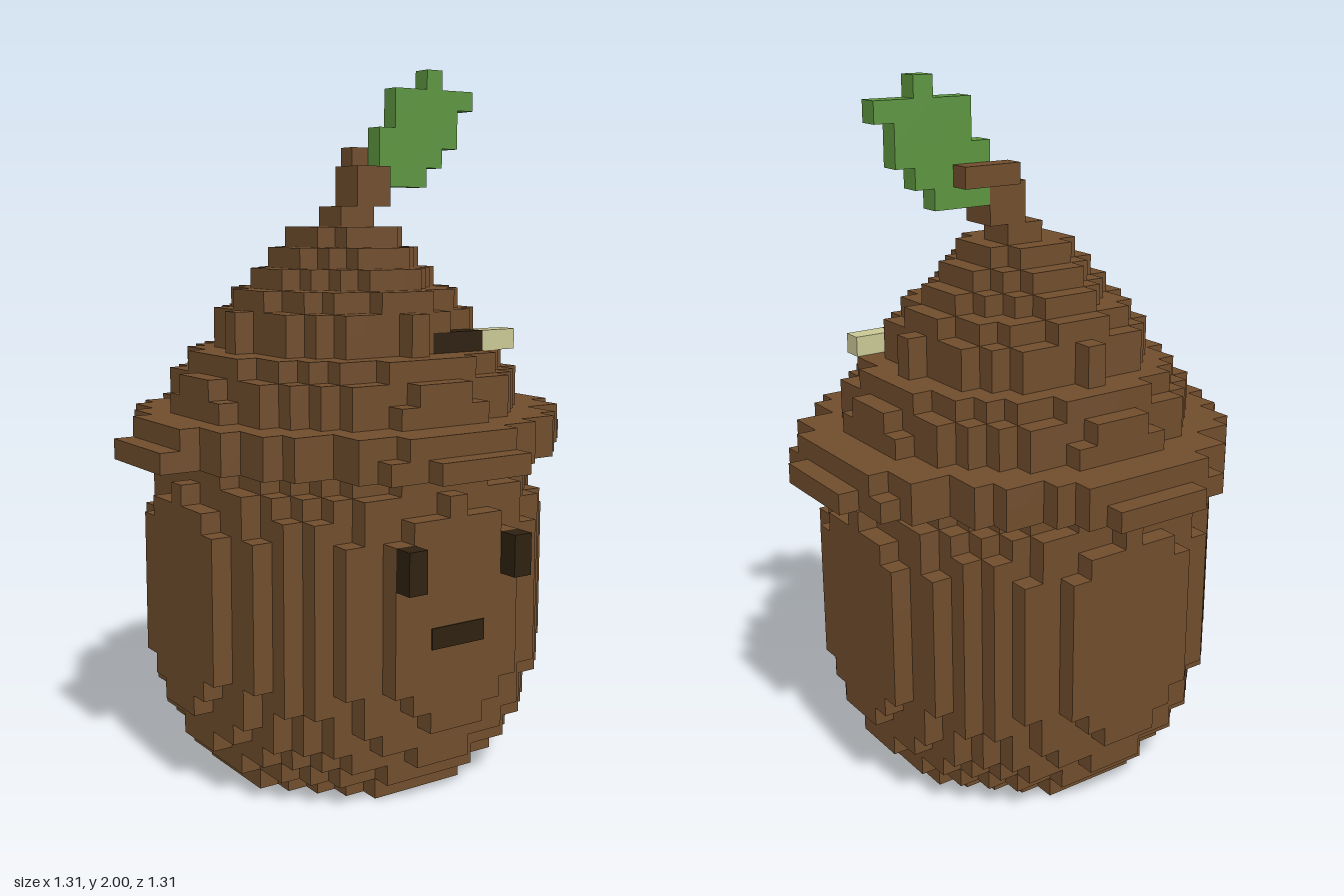
import * as THREE from 'three';

const U = 2 / 35; // edge of one cube

const material = (name, color) => Object.assign(new THREE.MeshStandardMaterial({ color }), { name });

const FACES = [[0, 1], [0, -1], [1, 1], [1, -1], [2, 1], [2, -1]]; // axis, sign

const key = (x, y, z) => `${x},${y},${z}`;

// Set of grid cells turned into a mesh with only the exposed faces
class Cells {
  constructor() { this.map = new Map(); }
  box(x0, x1, y0, y1, z0, z1) {
    for (let x = x0; x <= x1; x++)
      for (let y = y0; y <= y1; y++)
        for (let z = z0; z <= z1; z++) this.map.set(key(x, y, z), [x, y, z]);
    return this;
  }
  // Disc of cells whose squared distance from the axis is within r2
  disc(y, r2, rowLimit) {
    for (let z = -11; z <= 11; z++) {
      const [lo, hi] = rowLimit ? rowLimit(z) : [-11, 11];
      for (let x = lo; x <= hi; x++) if (x * x + z * z <= r2) this.box(x, x, y, y, z, z);
    }
  }
  remove(other) { for (const k of other.map.keys()) this.map.delete(k); }
  mesh(name, mat) {
    const pos = [], nor = [], index = [];
    for (const c of this.map.values()) {
      for (const [axis, s] of FACES) {
        const n = [0, 0, 0];
        n[axis] = s;
        if (this.map.has(key(c[0] + n[0], c[1] + n[1], c[2] + n[2]))) continue;
        const first = pos.length / 3;
        const u = (axis + 1) % 3, v = (axis + 2) % 3;
        for (const [a, b] of [[-1, -1], [1, -1], [1, 1], [-1, 1]]) {
          const p = [c[0], c[1] + 0.5, c[2]];
          p[axis] += s / 2;
          p[u] += (a * s) / 2;
          p[v] += b / 2;
          pos.push(p[0] * U, p[1] * U, p[2] * U);
          nor.push(...n);
        }
        index.push(first, first + 1, first + 2, first, first + 2, first + 3);
      }
    }
    const g = new THREE.BufferGeometry();
    g.setAttribute('position', new THREE.Float32BufferAttribute(pos, 3));
    g.setAttribute('normal', new THREE.Float32BufferAttribute(nor, 3));
    g.setIndex(index);
    const m = new THREE.Mesh(g, mat);
    m.name = name;
    return m;
  }
}

export function createModel() {
  const group = new THREE.Group();
  group.name = 'acorn';
  const brown = material('brown', 0x704d2d);
  const dark = material('dark brown', 0x2e2110);
  const green = material('leaf green', 0x5c9440);
  const cream = material('cream', 0xc9c795);

  // Nut: squared radius of each layer, from the ground up
  const nut = new Cells();
  [40, 53, 66, 75, 83, 86, 90, 90, 90, 90, 90, 90, 90, 86, 81, 70].forEach((r2, y) => nut.disc(y, r2));

  // Ragged brim of the cap: x range for each distance |z| from the middle
  const brim = [[-11, 11], [-11, 11], [-11, 11], [-9, 10], [-9, 10], [-8, 9],
    [-8, 7], [-7, 7], [-5, 6], [-5, 4], [-4, 3], [-2, 2]];
  const brimRow = (z) => (z === 10 ? [-4, 2] : brim[Math.abs(z)]);
  const cap = new Cells();
  cap.disc(16, 200, brimRow);
  cap.disc(17, 109, brimRow);
  [68, 65, 53, 36, 36, 26, 17, 10, 5].forEach((r2, i) => cap.disc(18 + i, r2));

  // Small hole bored into the cap, with a grub poking out
  const hole = new Cells().box(2, 4, 21, 21, 5, 5);
  const grub = new Cells().box(5, 6, 21, 21, 5, 5);
  cap.remove(hole);
  cap.remove(new Cells().box(3, 4, 21, 23, 5, 6));
  cap.remove(grub);

  // Bent stem
  const stem = new Cells()
    .box(0, 1, 27, 27, -1, 0)
    .box(1, 2, 28, 29, -1, 0)
    .box(2, 2, 30, 30, -2, -2)
    .box(3, 4, 30, 30, -2, -2);

  // Leaf, one cube thick: x range of each row
  const leaf = new Cells();
  [[3, 5], [3, 6], [3, 7], [4, 7], [4, 8], [6, 6]].forEach(([a, b], i) => leaf.box(a, b, 29 + i, 29 + i, -1, -1));

  group.add(
    nut.mesh('nut', brown),
    cap.mesh('cap', brown),
    stem.mesh('stem', brown),
    leaf.mesh('leaf', green),
    hole.mesh('hole', dark),
    grub.mesh('grub', cream),
  );

  // Face
  for (const [x, name] of [[3, 'leftEye'], [-3, 'rightEye']])
    group.add(new Cells().box(x, x, 11, 12, 10, 10).mesh(name, dark));
  const mouth = new THREE.Mesh(new THREE.BoxGeometry(3 * U, U, 0.008), dark);
  mouth.name = 'mouth';
  mouth.position.set(0, 8.5 * U, 9.5 * U);
  group.add(mouth);

  return group;
}
